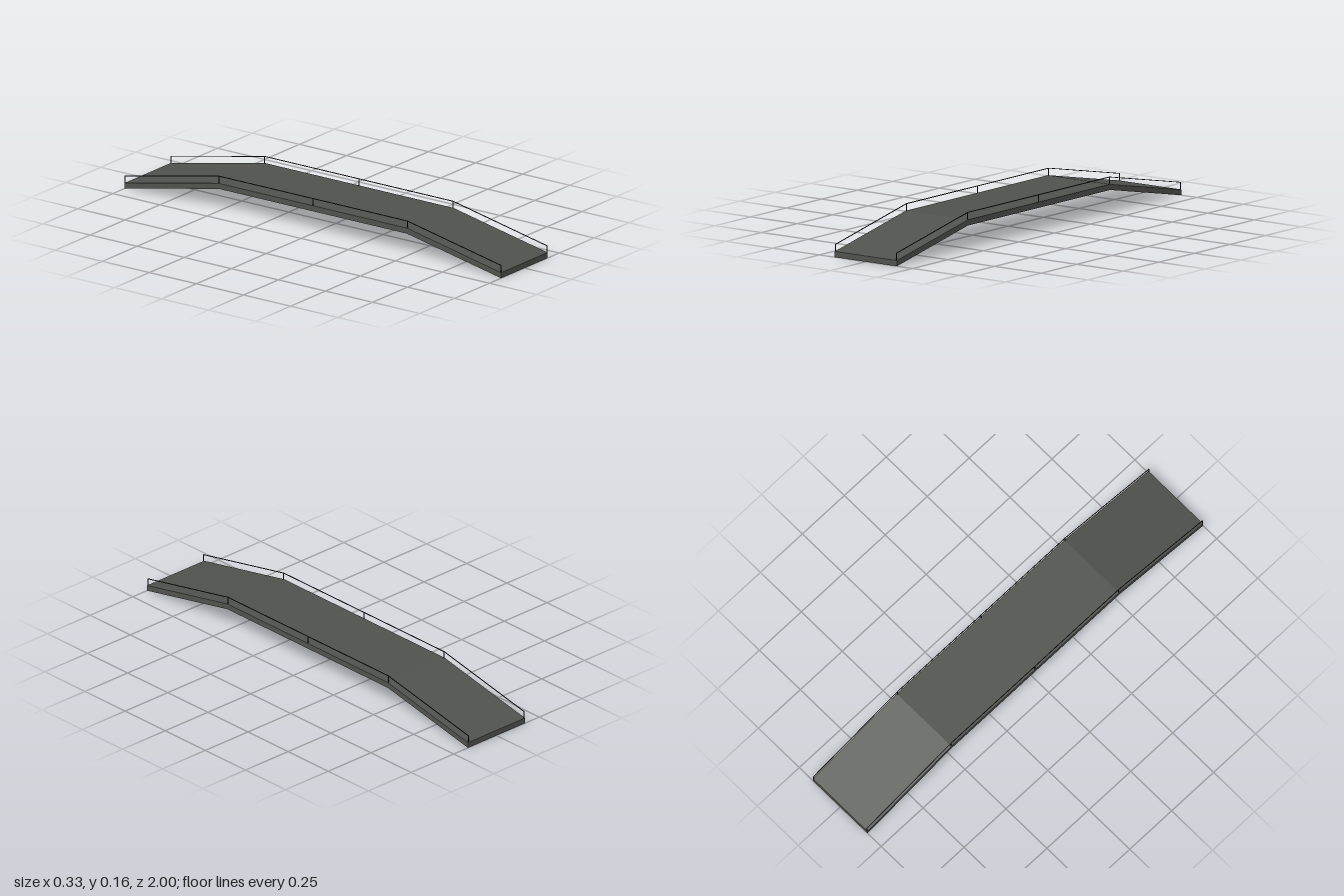
import * as THREE from 'three';

const HALF_WIDTH = 0.167;
const RAIL_X = 0.1635;
const RAIL_HEIGHT = 0.031;
const BAR = 0.003;
// Deck surface as [z, y] stations, one per railing post
const STATIONS = [[-1, 0.025], [-0.5, 0.125], [0, 0.125], [0.5, 0.125], [1, 0.025]];
const THICKNESS = 0.025;

const deckMaterial = new THREE.MeshStandardMaterial({ color: 0x50524d, flatShading: true });
const railMaterial = new THREE.MeshStandardMaterial({ color: 0x222322, flatShading: true });

// Side profile of the bridge swept across its width
function createDeck() {
  const top = STATIONS.filter(([z]) => z !== 0).map(([z, y]) => new THREE.Vector2(-z, y));
  const bottom = top.map((p) => new THREE.Vector2(p.x, p.y - THICKNESS)).reverse();
  const geometry = new THREE.ExtrudeGeometry(new THREE.Shape([...top, ...bottom]), {
    depth: HALF_WIDTH * 2,
    bevelEnabled: false,
  });
  geometry.translate(0, 0, -HALF_WIDTH);
  geometry.rotateY(Math.PI / 2);
  const deck = new THREE.Mesh(geometry, deckMaterial);
  deck.name = 'deck';
  return deck;
}

// Thin square handrail following the deck
function createHandrail() {
  const h = BAR / 2;
  const top = STATIONS.map(([z, y]) => new THREE.Vector2(-z, y + RAIL_HEIGHT + h));
  const bottom = top.map((p) => new THREE.Vector2(p.x, p.y - BAR)).reverse();
  const geometry = new THREE.ExtrudeGeometry(new THREE.Shape([...top, ...bottom]), {
    depth: BAR,
    bevelEnabled: false,
  });
  geometry.translate(0, 0, -h);
  geometry.rotateY(Math.PI / 2);
  const rail = new THREE.Mesh(geometry, railMaterial);
  rail.name = 'handrail';
  return rail;
}

function createRailing(side) {
  const railing = new THREE.Group();
  railing.name = side > 0 ? 'leftRailing' : 'rightRailing';
  railing.add(createHandrail());
  // Upright posts
  for (const [z, y] of STATIONS) {
    const post = new THREE.Mesh(new THREE.BoxGeometry(BAR, RAIL_HEIGHT, BAR), railMaterial);
    post.name = 'railingPost';
    post.position.set(0, y + RAIL_HEIGHT / 2, z - Math.trunc(z) * BAR / 2);
    railing.add(post);
  }
  railing.position.x = side * RAIL_X;
  return railing;
}

export function createModel() {
  const bridge = new THREE.Group();
  bridge.name = 'footbridge';
  bridge.add(createDeck(), createRailing(1), createRailing(-1));
  return bridge;
}
